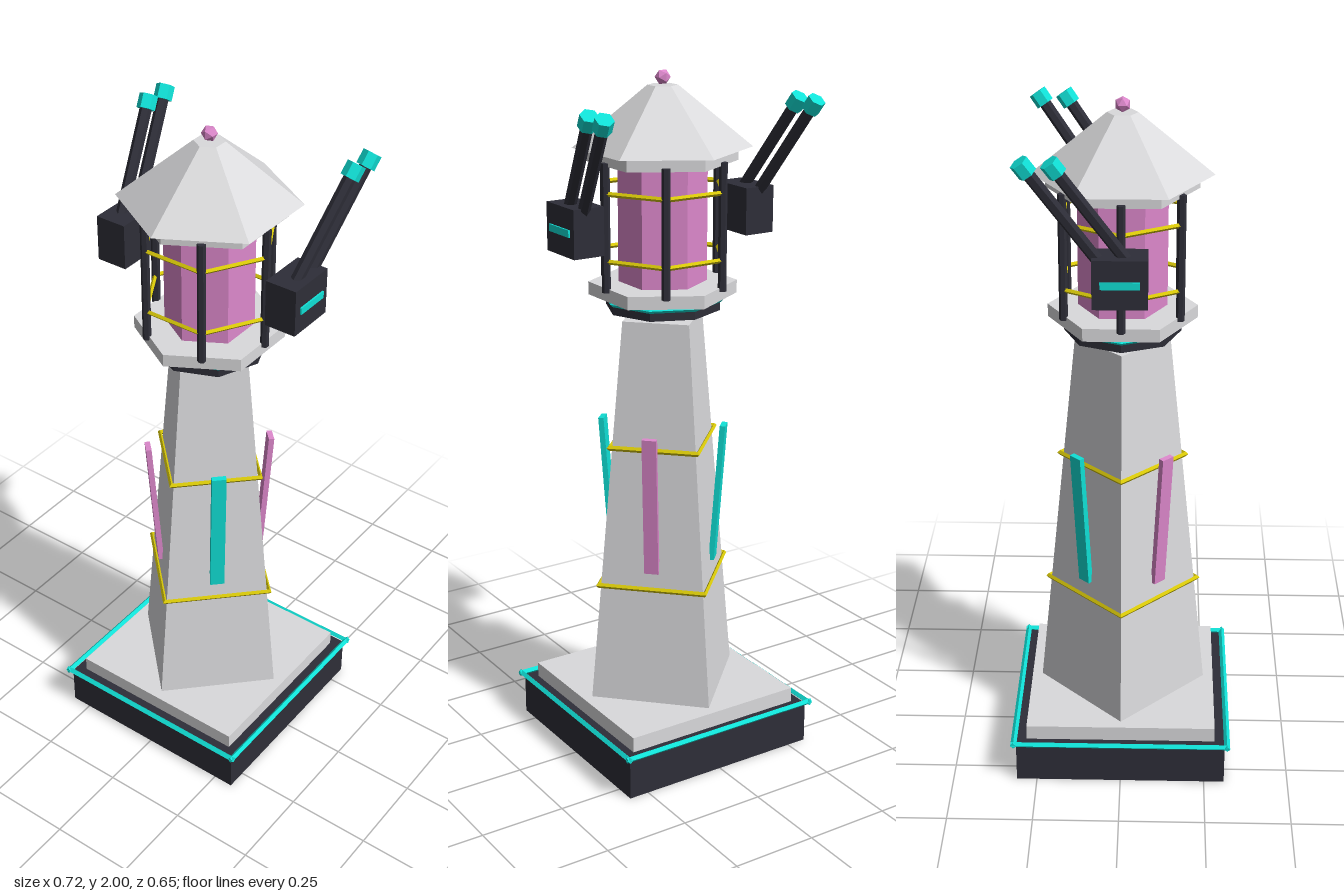
import * as THREE from 'three';

const mat = (name, color) => {
  const m = new THREE.MeshStandardMaterial({ color, flatShading: true });
  m.name = name;
  return m;
};

export function createModel() {
  const light = mat('light grey', 0xdadadc);
  const dark = mat('dark grey', 0x2e2e38);
  const teal = mat('teal', 0x10e0d6);
  const pink = mat('pink', 0xdd88cc);
  const yellow = mat('yellow', 0xd8c808);

  const model = new THREE.Group();
  model.name = 'lighthouse';

  const add = (parent, name, geometry, material, x = 0, y = 0, z = 0) => {
    const mesh = new THREE.Mesh(geometry, material);
    mesh.name = name;
    mesh.position.set(x, y, z);
    parent.add(mesh);
    return mesh;
  };
  const box = (w, h, d) => new THREE.BoxGeometry(w, h, d);
  // upright prism or frustum between two heights
  const prism = (name, rTop, rBottom, y0, y1, sides, material) =>
    add(model, name, new THREE.CylinderGeometry(rTop, rBottom, y1 - y0, sides), material, 0, (y0 + y1) / 2, 0);
  // horizontal polygonal hoop
  const hoop = (name, r, tube, y, sides, material) => {
    const mesh = add(model, name, new THREE.TorusGeometry(r, tube, 4, sides), material, 0, y, 0);
    mesh.rotation.x = Math.PI / 2;
    return mesh;
  };
  // rod between two points
  const rod = (parent, name, a, b, r, sides, material) => {
    const dir = b.clone().sub(a);
    const mesh = add(parent, name, new THREE.CylinderGeometry(r, r, dir.length(), sides), material);
    mesh.position.copy(a).add(b).multiplyScalar(0.5);
    mesh.quaternion.setFromUnitVectors(new THREE.Vector3(0, 1, 0), dir.normalize());
    return mesh;
  };
  const V = (x, y, z) => new THREE.Vector3(x, y, z);

  // Square base with trim bars
  add(model, 'base', box(0.62, 0.125, 0.62), dark, 0, 0.0625, 0);
  add(model, 'plinth', box(0.56, 0.05, 0.56), light, 0, 0.145, 0);
  for (const s of [-1, 1]) {
    rod(model, 'baseTrim', V(-0.325, 0.13, s * 0.317), V(0.325, 0.13, s * 0.317), 0.009, 4, teal);
    rod(model, 'baseTrim', V(s * 0.317, 0.13, -0.325), V(s * 0.317, 0.13, 0.325), 0.009, 4, teal);
  }

  // Four-sided tower with bands
  prism('tower', 0.135, 0.25, 0.17, 1.31, 4, light);
  hoop('lowerBand', 0.224, 0.008, 0.525, 4, yellow);
  hoop('upperBand', 0.183, 0.008, 0.943, 4, yellow);

  // One leaning strip per tower face, colours alternating
  for (let i = 0; i < 4; i++) {
    const pivot = new THREE.Group();
    pivot.name = 'stripMount';
    pivot.rotation.y = Math.PI / 4 + (i * Math.PI) / 2;
    const strip = add(pivot, 'strip', box(0.042, 0.42, 0.016), i % 2 ? pink : teal, 0, 0.785, 0.165);
    strip.rotation.x = 0.07;
    model.add(pivot);
  }

  // Gallery
  prism('collar', 0.165, 0.165, 1.333, 1.375, 8, dark);
  hoop('collarRing', 0.166, 0.008, 1.364, 8, teal);
  prism('gallery', 0.21, 0.21, 1.373, 1.41, 6, light);

  // Lantern with posts and rails
  prism('lantern', 0.125, 0.125, 1.41, 1.75, 6, pink);
  for (let i = 0; i < 6; i++) {
    const a = (i * Math.PI) / 3;
    const x = Math.cos(a) * 0.185, z = Math.sin(a) * 0.185;
    rod(model, 'post', V(x, 1.4, z), V(x, 1.76, z), 0.012, 6, dark);
  }
  hoop('lowerRail', 0.187, 0.007, 1.488, 6, yellow);
  hoop('upperRail', 0.187, 0.007, 1.676, 6, yellow);

  // Roof and finial
  prism('eaveRing', 0.21, 0.21, 1.75, 1.787, 6, light);
  prism('roof', 0.042, 0.25, 1.787, 1.957, 6, light);
  add(model, 'finial', new THREE.IcosahedronGeometry(0.022, 0), pink, 0, 1.978, 0);

  // Floating twin-barrel pods on both sides
  for (const s of [-1, 1]) {
    const pod = new THREE.Group();
    pod.name = s > 0 ? 'leftPod' : 'rightPod';
    add(pod, 'podBody', box(0.094, 0.135, 0.146), dark, s * 0.281, 1.592, 0);
    add(pod, 'podStripe', box(0.008, 0.02, 0.104), teal, s * 0.329, 1.592, 0);
    for (const dz of [0, -0.075]) {
      const start = V(s * 0.28, 1.6, 0.05 + dz);
      const tip = V(s * 0.333, 1.905, -0.165 + dz);
      const half = tip.clone().sub(start).normalize().multiplyScalar(0.02);
      rod(pod, 'barrel', start, tip, 0.017, 6, dark);
      rod(pod, 'barrelTip', tip.clone().sub(half), tip.clone().add(half), 0.026, 6, teal);
    }
    model.add(pod);
  }

  return model;
}
